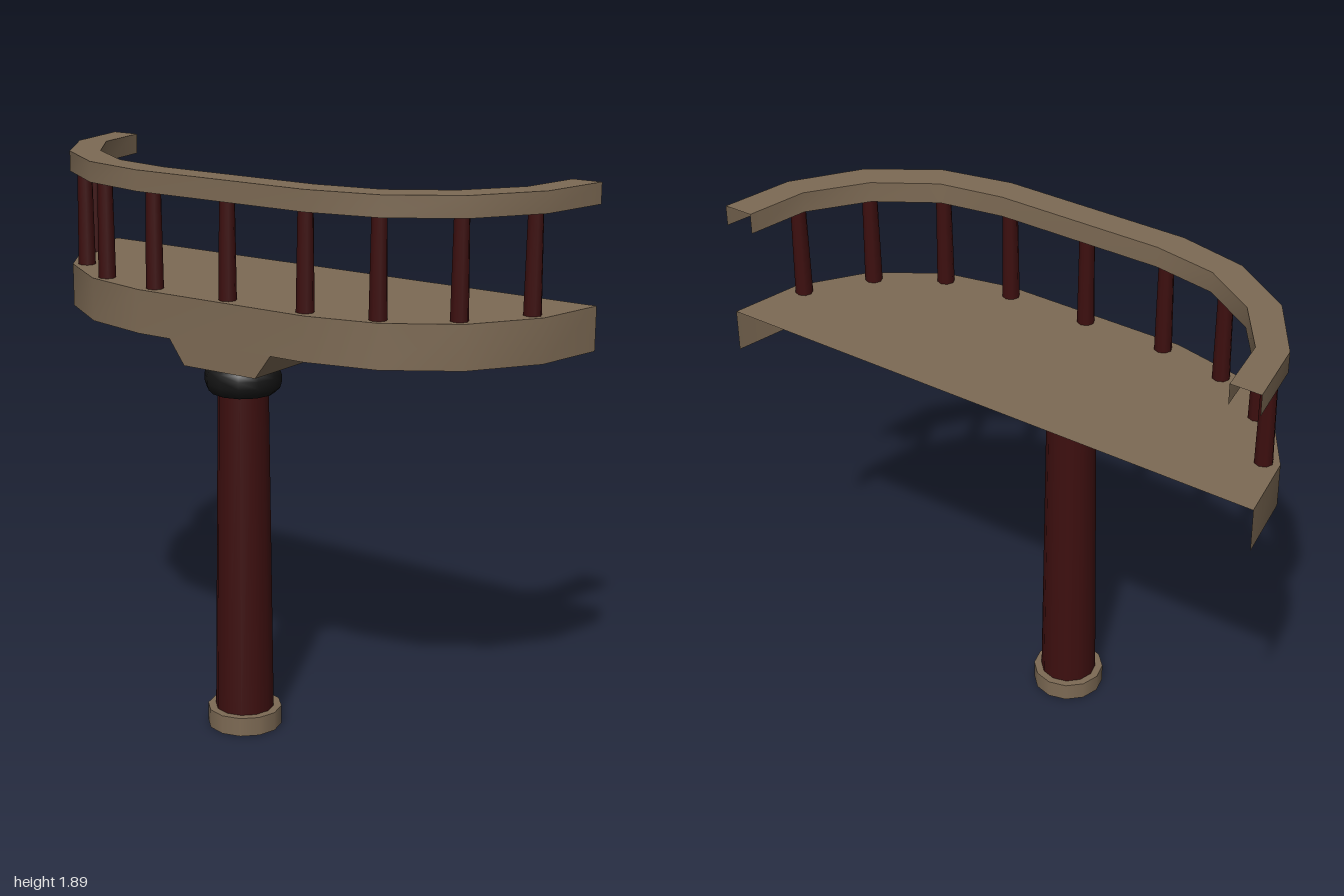
import * as THREE from 'three';

const mat = (color) => new THREE.MeshStandardMaterial({ color, side: THREE.DoubleSide });

// Mirrors the left half of a plan outline [x, z] into a full run from -x to +x
const mirrored = (half) => [...half, ...half.map(([x, z]) => [-x, z]).reverse()];
const outer = mirrored([[-1, -0.335], [-0.95, -0.085], [-0.8, 0.135], [-0.58, 0.28], [-0.335, 0.333]]);
const inner = mirrored([[-0.895, -0.335], [-0.855, -0.12], [-0.72, 0.065], [-0.525, 0.19], [-0.3, 0.23]]);

// Strip of quads between an upper and a lower outline
function ribbon(upper, yUpper, lower, yLower) {
  const n = upper.length;
  const geo = new THREE.PlaneGeometry(1, 1, n - 1, 1);
  for (let i = 0; i < n; i++) {
    geo.attributes.position.setXYZ(i, upper[i][0], yUpper, upper[i][1]);
    geo.attributes.position.setXYZ(n + i, lower[i][0], yLower, lower[i][1]);
  }
  geo.computeVertexNormals();
  return geo;
}

export function createModel() {
  const model = new THREE.Group();
  model.name = 'balcony';
  const wood = mat(0x7d6a54), redWood = mat(0x3d0f0f), black = mat(0x141414);
  const add = (name, geo, material, x = 0, y = 0, z = 0, parent = model) => {
    const mesh = new THREE.Mesh(geo, material);
    mesh.name = name;
    mesh.position.set(x, y, z);
    parent.add(mesh);
  };

  // Supporting column on an open-bottomed foot
  const zc = 0.205;
  add('footSide', new THREE.CylinderGeometry(0.127, 0.127, 0.065, 12, 1, true), wood, 0, 0.0325, zc);
  add('footTop', new THREE.CircleGeometry(0.127, 12).rotateX(-Math.PI / 2), wood, 0, 0.065, zc);
  add('column', new THREE.CylinderGeometry(0.085, 0.1, 1.125, 12, 1, true), redWood, 0, 0.6275, zc);

  // Rounded collar on top of the column
  const collar = [[0.08, 1.18], [0.107, 1.18], [0.122, 1.195], [0.128, 1.215], [0.128, 1.24],
    [0.122, 1.258], [0.11, 1.275]].map(([r, y]) => new THREE.Vector2(r, y));
  add('collar', new THREE.LatheGeometry(collar, 12), black, 0, 0, zc);

  // Tapered bracket under the deck
  const trapezoid = new THREE.Shape([[-0.145, 1.27], [0.145, 1.27], [0.205, 1.352], [-0.205, 1.352]]
    .map(([x, y]) => new THREE.Vector2(x, y)));
  add('bracket', new THREE.ExtrudeGeometry(trapezoid, { depth: 0.263, bevelEnabled: false }), wood, 0, 0, 0.07);

  // Deck: floor with a fascia, open below and behind
  const floor = new THREE.Shape(outer.map(([x, z]) => new THREE.Vector2(x, -z)));
  add('deckFloor', new THREE.ShapeGeometry(floor).rotateX(-Math.PI / 2), wood, 0, 1.5, 0);
  add('deckFascia', ribbon(outer, 1.5, outer, 1.352), wood);

  // Handrail: a channel open below and at both ends
  const rail = new THREE.Group();
  rail.name = 'handrail';
  model.add(rail);
  const [top, bottom] = [1.895, 1.825];
  add('railTop', ribbon(inner, top, outer, top), wood, 0, 0, 0, rail);
  add('railOuterSide', ribbon(outer, top, outer, bottom), wood, 0, 0, 0, rail);
  add('railInnerSide', ribbon([...inner].reverse(), top, [...inner].reverse(), bottom), wood, 0, 0, 0, rail);

  // Balusters following the curve
  const baluster = new THREE.CylinderGeometry(0.025, 0.03, 0.36, 8);
  for (const [x, z] of [[0, 0.285], [0.305, 0.283], [0.55, 0.24], [0.76, 0.105], [0.9, -0.1]]) {
    for (const side of x ? [-1, 1] : [1]) add('baluster', baluster, redWood, side * x, 1.68, z);
  }
  return model;
}
